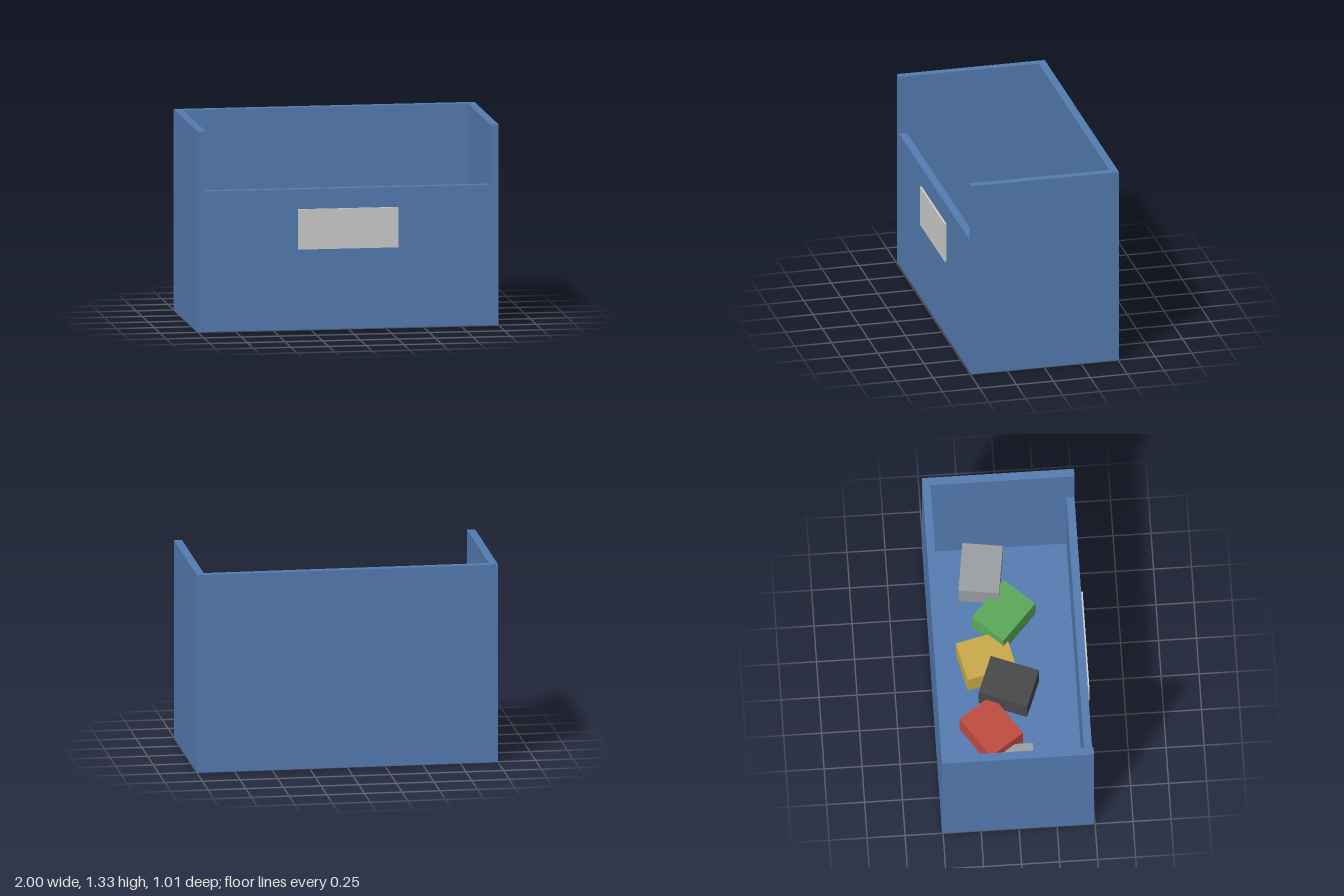
import * as THREE from 'three';

const mat = (name, color) => new THREE.MeshStandardMaterial({ name, color });

export function createModel() {
  const group = new THREE.Group();
  group.name = 'openBin';
  const blue = mat('binBlue', 0x547cb2);
  const label = mat('labelPaper', 0xcfcfcc);
  const contents = [
    mat('grey', 0x9a9da2), mat('red', 0xbf4a40), mat('charcoal', 0x474649),
    mat('yellow', 0xcaaa48), mat('green', 0x5aa85a),
  ];

  const box = (name, material, size, pos, turn = 0) => {
    const mesh = new THREE.Mesh(new THREE.BoxGeometry(...size), material);
    mesh.name = name;
    mesh.position.set(...pos);
    mesh.rotation.y = turn;
    group.add(mesh);
  };

  const height = 1.333, wall = 0.053, back = -0.507, front = 0.493;
  const inner = 1 - wall;

  // Back and side walls: one U-shaped plan raised to full height
  const plan = new THREE.Shape([
    [-1, -front], [-inner, -front], [-inner, -back - wall], [inner, -back - wall],
    [inner, -front], [1, -front], [1, -back], [-1, -back],
  ].map(([x, y]) => new THREE.Vector2(x, y)));
  const walls = new THREE.Mesh(
    new THREE.ExtrudeGeometry(plan, { depth: height, bevelEnabled: false }), blue);
  walls.name = 'backAndSideWalls';
  walls.rotation.x = -Math.PI / 2;
  group.add(walls);

  // Low front wall, floor and label plate
  box('frontWall', blue, [inner * 2, 0.933, wall], [0, 0.4665, front - wall / 2]);
  const floorDepth = front - back - 2 * wall;
  box('floor', blue, [inner * 2, wall, floorDepth], [0, wall / 2, (front + back) / 2]);
  box('label', label, [0.667, 0.267, 0.0135], [0, 0.667, front + 0.0067]);

  // Overlapping blocks lying in the bin, each turned a little further
  const blockHeight = 0.2, step = 0.1;
  for (let i = 0; i < 6; i++) {
    box('block' + (i + 1), contents[i % 5], [0.333, blockHeight, 0.267],
      [-0.667 + i * 0.2667, wall + blockHeight / 2 + (i % 3) * step, i % 2 ? -0.143 : -0.01],
      i * 0.6);
  }
  return group;
}
